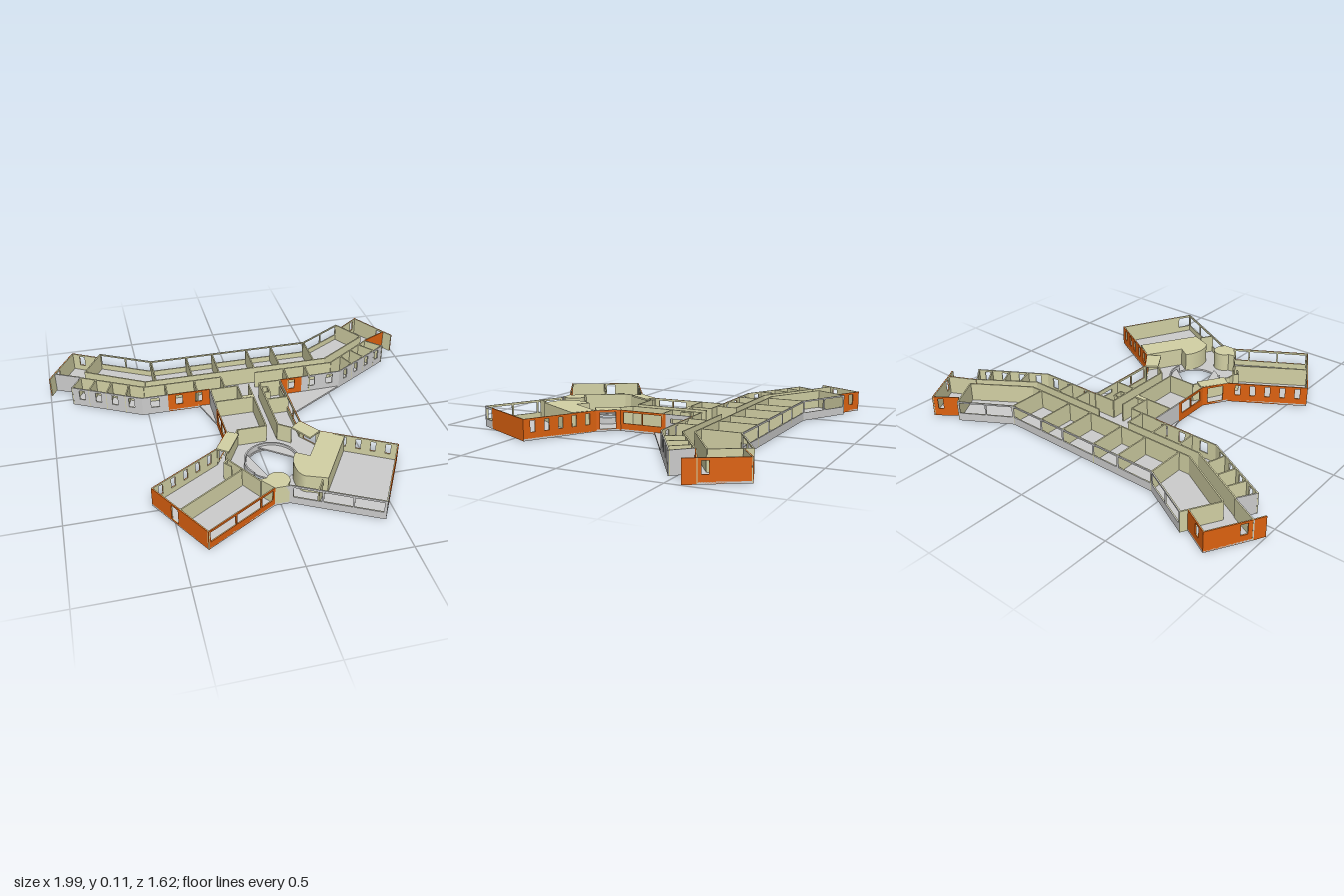
import * as THREE from 'three';

const H = 0.107, FLOOR = 0.01, T = 0.007;
const GREY = 0xcccccc, ORANGE = 0xdd6210, KHAKI = 0xd2d0a4;
const materials = {};
const mat = (color) => (materials[color] ??= new THREE.MeshStandardMaterial({ color, side: THREE.DoubleSide }));

// n rectangular openings spread over the fraction s0..s1 of a wall; fill = opening width / pitch
function row(n, s0, s1, fill, y0 = 0.04, y1 = 0.096) {
  const pitch = (s1 - s0) / n, out = [];
  for (let i = 0; i < n; i++) {
    const c = s0 + pitch * (i + 0.5);
    out.push([c - pitch * fill / 2, c + pitch * fill / 2, y0, y1]);
  }
  return out;
}

// Upright panel from a to b (x, z), thickened to the right of travel
function panel(a, b, color, openings, offset, depth, height = H) {
  const dx = b[0] - a[0], dz = b[1] - a[1], L = Math.hypot(dx, dz);
  const s = new THREE.Shape([[0, 0], [L, 0], [L, height], [0, height]].map(p => new THREE.Vector2(...p)));
  for (const [u0, u1, y0, y1] of openings) {
    s.holes.push(new THREE.Path([[u0 * L, y0], [u0 * L, y1], [u1 * L, y1], [u1 * L, y0]].map(p => new THREE.Vector2(...p))));
  }
  const g = new THREE.ExtrudeGeometry(s, { depth, bevelEnabled: false });
  g.translate(0, 0, offset);
  const m = new THREE.Mesh(g, mat(color));
  m.rotation.y = -Math.atan2(dz, dx);
  m.position.set(a[0], 0, a[1]);
  return m;
}

// Flat plate or block from a plan shape (x, z) between two heights
function plate(name, shape, y0, y1, color) {
  const g = new THREE.ExtrudeGeometry(shape, { depth: y1 - y0, bevelEnabled: false, curveSegments: 24 });
  g.rotateX(Math.PI / 2);
  g.translate(0, y1, 0);
  const m = new THREE.Mesh(g, mat(color));
  m.name = name;
  return m;
}
const plan = (pts) => new THREE.Shape(pts.map(p => new THREE.Vector2(p[0], p[1])));
const mix = (a, b, t) => [a[0] + (b[0] - a[0]) * t, a[1] + (b[1] - a[1]) * t];

export function createModel() {
  const model = new THREE.Group();

  // Floor slab with the round courtyard opening
  const outline = [
    [-0.97, -0.615], [-0.855, -0.81], [-0.72, -0.735], [-0.70, -0.765], [-0.43, -0.62], [0.465, -0.62],
    [0.71, -0.765], [0.74, -0.735], [0.85, -0.815], [0.965, -0.62], [0.82, -0.55], [0.9, -0.47], [0.57, -0.27],
    [0.23, -0.065], [0.23, 0.125], [0.3, 0.225], [0.645, 0.42], [0.44, 0.805], [0.045, 0.595], [-0.03, 0.595],
    [-0.385, 0.805], [-0.585, 0.46], [-0.235, 0.245], [-0.16, 0.125], [-0.165, -0.08], [-0.22, -0.265],
    [-0.53, -0.265], [-0.885, -0.455], [-0.83, -0.545]];
  const floorShape = plan(outline);
  const court = [0.03, 0.31];
  floorShape.holes.push(new THREE.Path().absarc(...court, 0.125, 0, Math.PI * 2, true));
  model.add(plate('floor', floorShape, 0, FLOOR, GREY));

  // Landings filling the sides of the courtyard opening
  const segment = (a0, a1) => new THREE.Shape().absarc(...court, 0.128, a0, a1, false);
  model.add(plate('courtyardLandingRight', segment(-1.88, 0.02), 0.022, 0.03, GREY));
  model.add(plate('courtyardLandingLeft', segment(1.9, 3.75), 0.022, 0.03, GREY));

  // Low curved parapet around the courtyard
  const ring = new THREE.Shape();
  ring.absarc(...court, 0.138, 2.5, 6.5, false);
  ring.absarc(...court, 0.13, 6.5, 2.5, true);
  model.add(plate('courtyardParapet', ring, FLOOR, 0.042, GREY));

  // Outer walls: coloured skin outside, khaki lining inside, listed clockwise in plan
  const exterior = new THREE.Group();
  exterior.name = 'outerWalls';
  const outer = (a, b, color, openings = []) => {
    exterior.add(panel(a, b, color, openings, 0, T / 2), panel(a, b, KHAKI, openings, T / 2, T / 2));
  };
  const small = (n, s0 = 0.03, s1 = 0.97, fill = 0.34) => row(n, s0, s1, fill);
  const band = (n) => row(n, 0.01, 0.99, 0.95, 0.042, 0.099);
  // rear wing
  outer([-0.97, -0.615], [-0.855, -0.81], ORANGE, [[0.12, 0.27, 0.04, 0.096]]);
  outer([-0.855, -0.81], [-0.72, -0.735], ORANGE, [[0.3, 0.5, 0.04, 0.096]]);
  outer([-0.70, -0.765], [-0.43, -0.62], GREY, band(2));
  [-0.43, -0.23, -0.08, 0.12, 0.265, 0.465].forEach((x, i, xs) => {
    if (i) outer([xs[i - 1], -0.62], [x, -0.62], GREY, row(1, 0.03, 0.97, 1, 0.042, 0.099));
  });
  outer([0.465, -0.62], [0.71, -0.765], GREY, band(2));
  outer([0.74, -0.735], [0.85, -0.815], ORANGE, [[0.6, 0.8, 0.04, 0.096]]);
  outer([0.85, -0.815], [0.965, -0.62], ORANGE, [[0.77, 0.9, 0.04, 0.096]]);
  outer([0.965, -0.62], [0.82, -0.55], ORANGE);
  outer([0.82, -0.55], [0.9, -0.47], GREY);
  outer([0.9, -0.47], [0.57, -0.27], GREY, small(4, 0.02, 0.98, 0.3));
  outer([0.57, -0.27], [0.35, -0.265], GREY, small(2));
  outer([0.35, -0.265], [0.23, -0.265], ORANGE, small(1));
  // central spine
  outer([0.23, -0.265], [0.23, -0.125], GREY, row(1, 0.05, 0.8, 1, 0.065, 0.085));
  outer([0.23, -0.125], [0.23, 0.125], ORANGE, row(2, 0.08, 0.95, 0.95));
  outer([0.23, 0.125], [0.3, 0.225], ORANGE, row(1, 0.2, 0.85, 1, 0.012, 0.096));
  // front right wing
  outer([0.3, 0.225], [0.645, 0.42], ORANGE, small(5));
  outer([0.645, 0.42], [0.48, 0.73], ORANGE);
  outer([0.48, 0.73], [0.44, 0.805], GREY, row(1, 0.1, 0.9, 1));
  outer([0.44, 0.805], [0.045, 0.595], GREY, row(3, 0.02, 0.98, 0.94));
  // front left wing
  outer([-0.03, 0.595], [-0.385, 0.805], ORANGE, [[0.03, 0.2, 0.04, 0.096], [0.22, 0.58, 0.04, 0.096], [0.6, 0.97, 0.04, 0.096]]);
  outer([-0.385, 0.805], [-0.585, 0.46], ORANGE, [[0.52, 0.64, 0.012, 0.096]]);
  outer([-0.585, 0.46], [-0.235, 0.245], ORANGE, small(5));
  outer([-0.235, 0.245], [-0.16, 0.125], ORANGE, row(1, 0.2, 0.8, 1, 0.012, 0.096));
  outer([-0.16, 0.125], [-0.165, -0.08], ORANGE, row(2, 0.1, 0.9, 0.9));
  outer([-0.165, -0.08], [-0.165, -0.265], GREY);
  outer([-0.165, -0.265], [-0.39, -0.265], ORANGE, small(2));
  outer([-0.39, -0.265], [-0.53, -0.265], GREY, small(1));
  outer([-0.53, -0.265], [-0.885, -0.455], GREY, small(4));
  outer([-0.885, -0.455], [-0.83, -0.545], GREY);
  outer([-0.83, -0.545], [-0.97, -0.615], GREY);
  // end fins
  outer([0.965, -0.62], [0.995, -0.572], ORANGE);
  outer([-0.997, -0.565], [-0.97, -0.615], ORANGE);
  model.add(exterior);

  // Inner partitions, as plan polylines
  const partitions = new THREE.Group();
  partitions.name = 'innerWalls';
  const inner = (...pts) => {
    for (let i = 1; i < pts.length; i++) partitions.add(panel(pts[i - 1], pts[i], KHAKI, [], -T / 2, T));
  };
  inner([-0.70, -0.765], [-0.80, -0.595], [-0.49, -0.42], [0.53, -0.42], [0.81, -0.6], [0.71, -0.765]);
  inner([-0.83, -0.545], [-0.505, -0.37], [-0.08, -0.37], [-0.08, -0.265]);
  inner([0.82, -0.55], [0.55, -0.37], [0.11, -0.37]);
  for (const x of [-0.43, -0.23, -0.08, 0.12, 0.265, 0.465]) inner([x, -0.62], [x, -0.42]);
  for (const x of [-0.39, -0.23, 0.275, 0.395]) inner([x, -0.37], [x, -0.265]);
  for (const t of [0.25, 0.5, 0.77]) {
    inner(mix([-0.83, -0.545], [-0.505, -0.37], t), mix([-0.885, -0.455], [-0.53, -0.265], t));
    inner(mix([0.82, -0.55], [0.55, -0.37], t - 0.05), mix([0.9, -0.47], [0.57, -0.27], t - 0.05));
  }
  inner([-0.165, -0.265], [-0.01, -0.265], [-0.01, -0.145]);
  inner([-0.16, -0.145], [0.05, -0.145], [0.05, 0.12], [-0.1, 0.12], [-0.2, 0.3], [-0.2, 0.335], [-0.08, 0.53]);
  inner([0.05, -0.265], [0.05, -0.145]);
  inner([0.11, -0.265], [0.11, 0.12], [0.17, 0.165]);
  inner([0.11, -0.265], [0.23, -0.265]);
  inner([0.11, -0.105], [0.23, -0.105]);
  inner([0.11, -0.22], [0.145, -0.22], [0.145, -0.17], [0.11, -0.17]);
  inner([-0.48, 0.635], [-0.15, 0.43]);
  inner([-0.2, 0.34], [-0.22, 0.36], [-0.19, 0.395]);
  inner([0.2, 0.59], [0.16, 0.655]);
  model.add(partitions);

  // Roofs over the two link passages and the spine lobby
  const roof = (name, pts) => model.add(plate(name, plan(pts), H - 0.008, H + 0.001, KHAKI));
  roof('linkRoofRight', [[-0.15, 0.125], [-0.1, 0.155], [-0.18, 0.285], [-0.235, 0.245]]);
  roof('linkRoofLeft', [[0.17, 0.165], [0.22, 0.125], [0.3, 0.225], [0.235, 0.27]]);
  roof('lobbyRoof', [[-0.01, -0.165], [0.05, -0.165], [0.05, -0.145], [-0.01, -0.145]]);

  // Enclosed block with a rounded end in the front wing
  const hall = new THREE.Shape();
  hall.moveTo(0.3, 0.23);
  hall.lineTo(0.405, 0.3);
  hall.lineTo(0.23, 0.585);
  hall.lineTo(0.13, 0.545);
  hall.bezierCurveTo(0.09, 0.52, 0.09, 0.41, 0.135, 0.365);
  hall.lineTo(0.195, 0.405);
  model.add(plate('roundedHall', hall, FLOOR, H + 0.001, KHAKI));

  // Round entrance drum
  const drum = new THREE.Shape();
  drum.moveTo(-0.03, 0.595);
  drum.lineTo(-0.085, 0.52);
  drum.absarc(0, 0.54, 0.055, Math.PI * 1.15, Math.PI * 2.3, false);
  drum.lineTo(0.04, 0.595);
  model.add(plate('entranceDrum', drum, FLOOR, H + 0.001, KHAKI));
  model.add(panel([0.045, 0.595], [-0.03, 0.595], GREY, [], 0, T));

  model.children.at(-1).name = 'entranceFront';
  return model;
}
